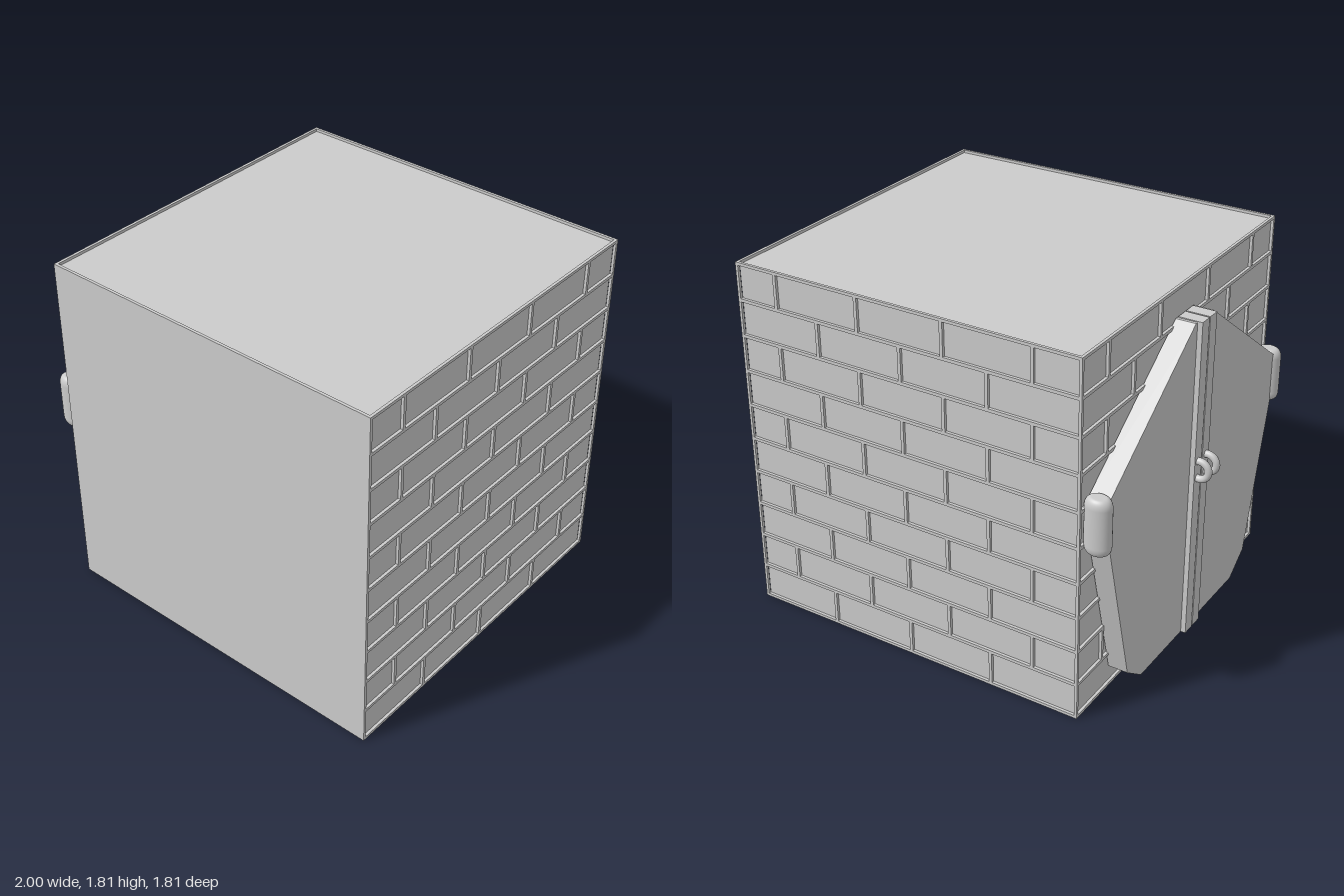
import * as THREE from 'three';

const HALF = 0.905, H = 1.81, T = 0.014, CX = 0.095;

export function createModel() {
  const model = new THREE.Group();
  const mat = new THREE.MeshStandardMaterial({ color: 0xcccccc });
  const add = (name, geo, x = 0, y = 0, z = 0, parent = model) => {
    const mesh = new THREE.Mesh(geo, mat);
    mesh.name = name;
    mesh.position.set(x, y, z);
    parent.add(mesh);
    return mesh;
  };
  const polygon = (pts) => new THREE.Shape(pts.map(([a, b]) => new THREE.Vector2(a, b)));
  const rect = (x0, y0, x1, y1) => [[x0, y0], [x1, y0], [x1, y1], [x0, y1]];

  // Core block: its faces are the brick surfaces and the sunken top
  const inner = 2 * (HALF - T);
  add('brickCore', new THREE.BoxGeometry(inner, H - T, inner), CX, (H - T) / 2, 0);

  // Mortar grid: a thin sheet pierced by one opening per brick
  const grid = polygon(rect(-HALF, 0, HALF, H));
  const edge = HALF - 0.013, gap = 0.008, rows = 10, pitch = 0.1797;
  for (let r = 0; r < rows; r++) {
    const y0 = 0.0065 + r * pitch + gap, y1 = y0 + pitch - 2 * gap;
    const start = r % 2 ? -0.683 : -0.458;
    const joints = [];
    for (let u = start; u < 0.8; u += 0.45) joints.push(u);
    const lefts = [-edge, ...joints.map((u) => u + gap)];
    const rights = [...joints.map((u) => u - gap), edge];
    lefts.forEach((l, i) => grid.holes.push(polygon(rect(l, y0, rights[i], y1).reverse())));
  }
  const gridGeo = new THREE.ExtrudeGeometry(grid, { depth: T, bevelEnabled: false });
  gridGeo.translate(0, 0, HALF - T);
  [['rightSideMortar', Math.PI / 2], ['backMortar', Math.PI], ['doorSideMortar', -Math.PI / 2]]
    .forEach(([name, angle]) => {
      add(name, gridGeo, CX).rotation.y = angle;
    });

  // Smooth front wall, flush with the rim
  add('frontWall', new THREE.BoxGeometry(2 * HALF, H, T), CX, H / 2, HALF - T / 2);

  // Double door on the -x side
  const door = new THREE.Group();
  door.name = 'door';
  model.add(door);
  const half = [[0.47, 0], [0.605, 0.1], [0.81, 0.9], [0.81, 1.13], [0.085, 1.655]];
  const outline = [...half, ...half.map(([a, b]) => [-a, b]).reverse()];
  const panel = new THREE.ExtrudeGeometry(polygon(outline), { depth: 0.1, bevelEnabled: false });
  panel.rotateY(-Math.PI / 2);
  add('doorPanel', panel, -0.8, 0, 0, door);

  // Rounded hinge cap profile, turned and flattened
  const cap = [new THREE.Vector2(0, -0.14)];
  for (const s of [-1, 1]) {
    for (let i = 0; i <= 8; i++) {
      const a = (s < 0 ? -1 + i / 8 : i / 8) * Math.PI / 2;
      cap.push(new THREE.Vector2(0.025 + 0.025 * Math.cos(a), s * 0.095 + 0.045 * Math.sin(a)));
    }
  }
  cap.push(new THREE.Vector2(0, 0.14));
  const capGeo = new THREE.LatheGeometry(cap, 32);
  capGeo.scale(1.3, 1, 1);

  for (const s of [-1, 1]) {
    add('centreStrip', new THREE.BoxGeometry(0.12, 1.66, 0.066), -0.865, 0.83, s * 0.037, door);
    add('ringHandle', new THREE.TorusGeometry(0.046, 0.018, 16, 40), -0.936, 0.905, s * 0.04, door);
    add('hingeCap', capGeo, -0.86, 1.01, s * 0.837, door);
  }
  return model;
}
